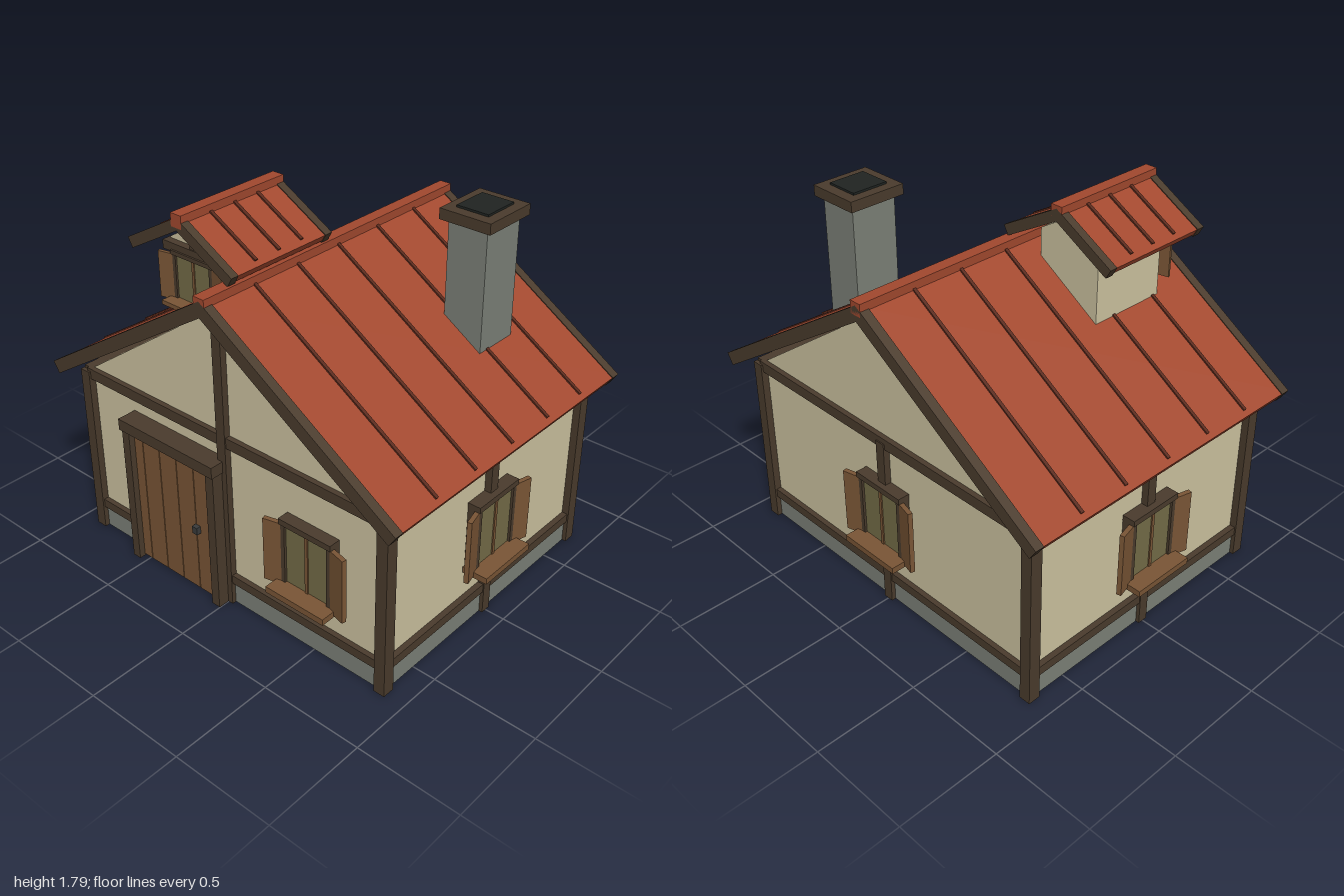
import * as THREE from 'three';

const paint = (color) => new THREE.MeshStandardMaterial({ color });
const M = {
  plaster: paint(0xcfc5a2), timber: paint(0x4b3c2d), roof: paint(0xa3492f), groove: paint(0x5a2a1c),
  wood: paint(0x7a5636), stone: paint(0x7d8279), glass: paint(0x756d48), dark: paint(0x202422), metal: paint(0x3a3c3c),
};

// Box given by its min and max on each axis
function box(parent, name, mat, x0, x1, y0, y1, z0, z1) {
  const m = new THREE.Mesh(new THREE.BoxGeometry(x1 - x0, y1 - y0, z1 - z0), mat);
  m.position.set((x0 + x1) / 2, (y0 + y1) / 2, (z0 + z1) / 2);
  m.name = name;
  parent.add(m);
  return m;
}

function group(parent, name) {
  const g = new THREE.Group();
  g.name = name;
  parent.add(g);
  return g;
}

// Wall block with a pointed gable at both ends
function gabledWalls(parent, name, half, bottom, eave, peak, z0, z1) {
  const s = new THREE.Shape([[-half, bottom], [half, bottom], [half, eave], [0, peak], [-half, eave]]
    .map(([x, y]) => new THREE.Vector2(x, y)));
  const m = new THREE.Mesh(new THREE.ExtrudeGeometry(s, { depth: z1 - z0, bevelEnabled: false }), M.plaster);
  m.position.z = z0;
  m.name = name;
  parent.add(m);
}

// Two sloping slabs with seams, end boards and a ridge cap
function gableRoof(parent, name, o) {
  const roof = group(parent, name);
  const len = Math.hypot(o.half, o.drop), angle = Math.atan2(o.drop, o.half);
  for (const side of [0, 1]) {
    const turn = group(roof, side ? 'rightSlope' : 'leftSlope');
    turn.position.y = o.peak;
    turn.rotation.y = side * Math.PI;
    const slope = group(turn, 'slope');
    slope.rotation.z = -angle;
    const [a, b] = side ? [-o.z1, -o.z0] : [o.z0, o.z1];
    box(slope, 'roofPanel', M.roof, 0, len - 0.002, -o.thick + 0.012, -0.004, a + 0.004, b - 0.004);
    for (const z of o.seams) {
      const c = side ? -z : z;
      box(slope, 'roofSeam', M.groove, 0.02, len - 0.03, -0.01, 0.003, c - 0.008, c + 0.008);
    }
    for (const z of [a, b - o.board]) box(slope, 'bargeBoard', M.timber, 0, len, -o.thick, 0, z, z + o.board);
  }
  box(roof, 'ridgeCap', M.roof, -0.03, 0.03, o.peak - 0.045, o.peak + 0.015, o.z0, o.z1);
  return roof;
}

// Window facing +z, standing out from the wall at z = 0
function makeWindow(parent, name) {
  const w = group(parent, name);
  box(w, 'glass', M.glass, -0.12, 0.12, 0.3, 0.63, -0.02, 0.04);
  box(w, 'mullion', M.wood, -0.008, 0.008, 0.3, 0.63, 0.03, 0.046);
  box(w, 'windowHead', M.timber, -0.142, 0.142, 0.622, 0.65, -0.02, 0.058);
  box(w, 'windowFoot', M.timber, -0.142, 0.142, 0.28, 0.3, -0.02, 0.058);
  box(w, 'windowSill', M.wood, -0.16, 0.16, 0.295, 0.325, 0, 0.125);
  for (const s of [-1, 1]) {
    box(w, 'windowJamb', M.timber, s * 0.128 - 0.013, s * 0.128 + 0.013, 0.29, 0.64, -0.02, 0.052);
    // Shutters swung slightly open
    const hinge = group(w, 'shutter');
    hinge.position.set(s * 0.138, 0, 0.03);
    hinge.rotation.y = -s * 0.24;
    box(hinge, 'shutterPanel', M.wood, Math.min(0, s * 0.088), Math.max(0, s * 0.088), 0.305, 0.622, 0, 0.022);
  }
  return w;
}

export function createModel() {
  const house = new THREE.Group();
  house.name = 'house';

  // Stone base and plaster walls
  box(house, 'foundation', M.stone, -0.885, 0.885, 0, 0.115, -0.695, 0.695);
  gabledWalls(house, 'walls', 0.87, 0.1, 0.87, 1.48, -0.685, 0.685);

  // Timber frame
  const frame = group(house, 'timberFrame');
  for (const sx of [-1, 1]) {
    for (const sz of [-1, 1])
      box(frame, 'cornerPost', M.timber, sx * 0.877 - 0.028, sx * 0.877 + 0.028, 0, 0.87, sz * 0.689 - 0.03, sz * 0.689 + 0.03);
    box(frame, 'sidePost', M.timber, sx * 0.877 - 0.026, sx * 0.877 + 0.026, 0, 0.86, -0.025, 0.025);
    for (const [y0, y1] of [[0.113, 0.157], [0.833, 0.885]]) {
      box(frame, 'sideBeam', M.timber, sx * 0.872 - 0.026, sx * 0.872 + 0.026, y0, y1, -0.7, 0.7);
      box(frame, 'endBeam', M.timber, -0.87, 0.87, y0, y1, sx * 0.685 - 0.025, sx * 0.685 + 0.025);
    }
  }
  box(frame, 'frontPost', M.timber, -0.025, 0.025, 0, 1.5, 0.66, 0.716);
  box(frame, 'backPost', M.timber, -0.025, 0.025, 0, 0.86, -0.716, -0.66);

  // Main roof
  gableRoof(house, 'mainRoof', {
    half: 1, drop: 0.64, peak: 1.547, thick: 0.062, z0: -0.795, z1: 0.795, board: 0.045,
    seams: [-0.515, -0.26, 0, 0.255, 0.51],
  });

  // Door with planks and a heavy surround
  const door = group(house, 'door');
  box(door, 'doorBack', M.groove, -0.54, -0.04, 0.01, 0.71, 0.68, 0.735);
  for (let i = 0; i < 5; i++) {
    const x = -0.588 + i * 0.108;
    box(door, 'doorPlank', M.wood, Math.max(x, -0.54) + 0.002, Math.min(x + 0.108, -0.04) - 0.002, 0.01, 0.705, 0.69, 0.742);
  }
  box(door, 'doorHandle', M.metal, -0.16, -0.13, 0.333, 0.37, 0.74, 0.765);
  box(door, 'doorPost', M.timber, -0.58, -0.535, 0, 0.71, 0.68, 0.772);
  box(door, 'doorPost', M.timber, -0.048, -0.002, 0, 0.71, 0.68, 0.772);
  box(door, 'doorLintel', M.timber, -0.587, 0.004, 0.704, 0.76, 0.68, 0.782);

  // One window per wall: x, z, turn
  for (const [name, x, z, turn] of [
    ['frontWindow', 0.49, 0.685, 0], ['backWindow', 0, -0.685, Math.PI],
    ['leftWindow', 0.875, 0, Math.PI / 2], ['rightWindow', -0.875, 0, -Math.PI / 2],
  ]) {
    const w = makeWindow(house, name);
    w.position.set(x, 0, z);
    w.rotation.y = turn;
  }

  // Chimney
  const chimney = group(house, 'chimney');
  chimney.position.set(0.548, 0, -0.322);
  box(chimney, 'chimneyStack', M.stone, -0.098, 0.098, 1.13, 1.7, -0.115, 0.115);
  box(chimney, 'chimneyCap', M.timber, -0.128, 0.128, 1.695, 1.745, -0.142, 0.142);
  box(chimney, 'chimneyOpening', M.dark, -0.08, 0.08, 1.73, 1.755, -0.09, 0.09);

  // Dormer on the right slope
  const dormer = group(house, 'dormer');
  dormer.position.x = -0.265;
  gabledWalls(dormer, 'dormerWalls', 0.165, 1.2, 1.61, 1.71, 0.14, 0.54);
  gableRoof(dormer, 'dormerRoof', {
    half: 0.305, drop: 0.172, peak: 1.775, thick: 0.05, z0: 0.055, z1: 0.65, board: 0.04,
    seams: [0.213, 0.348, 0.483],
  });
  box(dormer, 'dormerBeam', M.timber, -0.175, 0.175, 1.565, 1.605, 0.52, 0.575);
  box(dormer, 'dormerPost', M.timber, -0.016, 0.016, 1.6, 1.74, 0.52, 0.57);
  const w = makeWindow(dormer, 'dormerWindow');
  w.scale.set(0.86, 0.67, 0.75);
  w.position.set(0, 1.14, 0.54);

  return house;
}
